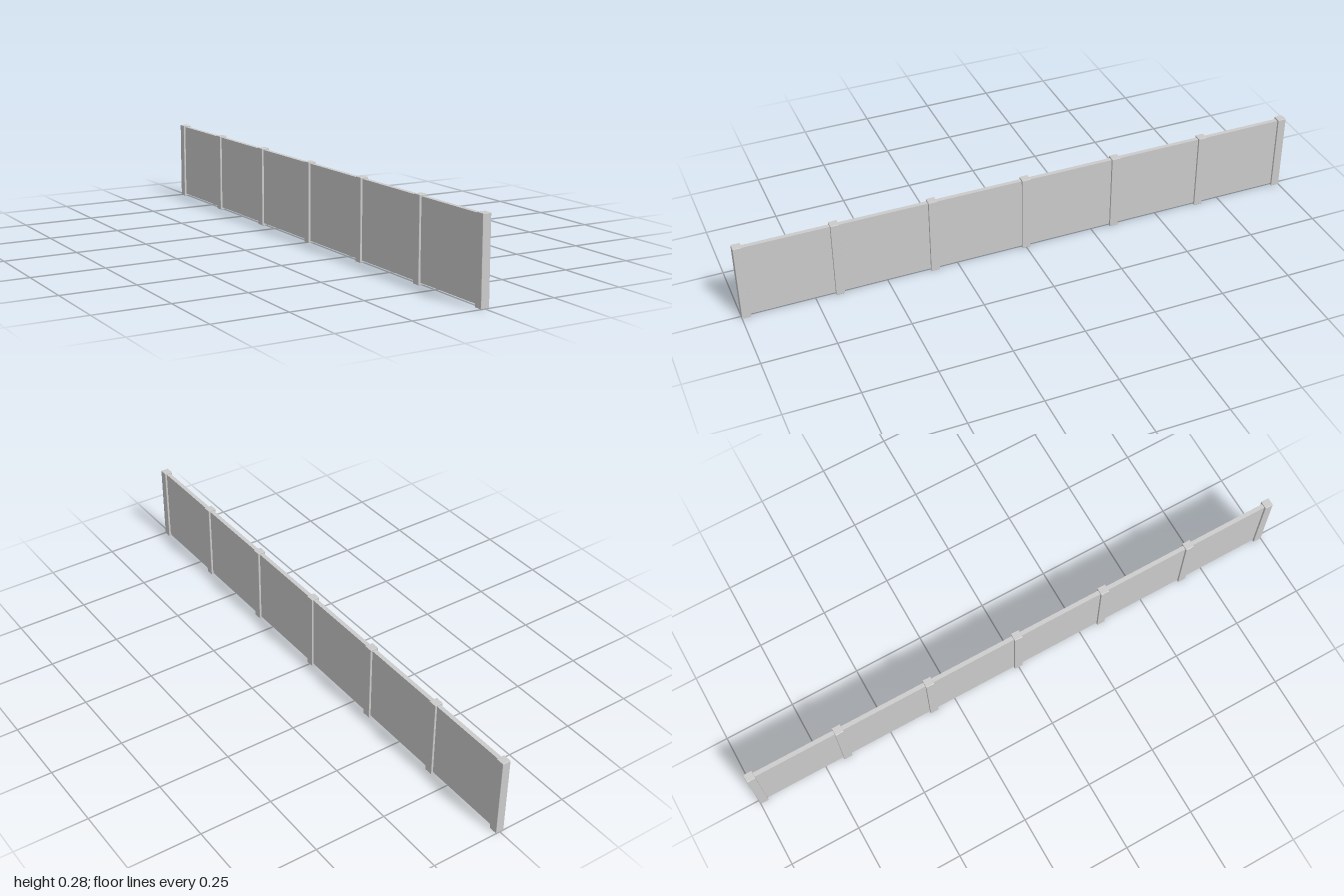
import * as THREE from 'three';
import { RoundedBoxGeometry } from 'three/addons/geometries/RoundedBoxGeometry.js';

export function createModel() {
  const group = new THREE.Group();
  group.name = 'fence';
  const material = new THREE.MeshStandardMaterial({ color: 0xcccccc, flatShading: true });

  const height = 0.28, postSize = 0.029;
  const postZ = [-0.985, -0.667, -0.333, 0, 0.333, 0.667, 0.985];

  // Square posts with slightly eased edges
  const postGeometry = new RoundedBoxGeometry(postSize, height, postSize + 0.001, 1, 0.0015);
  postZ.forEach((z, i) => {
    const post = new THREE.Mesh(postGeometry, material);
    post.name = `post${i + 1}`;
    post.position.set(0, height / 2, z);
    group.add(post);
  });

  // Thin panels between the posts, set just short of their tops and feet
  const bottom = 0.008, top = 0.275;
  for (let i = 0; i < postZ.length - 1; i++) {
    const length = postZ[i + 1] - postZ[i] - postSize + 0.004;
    const panel = new THREE.Mesh(new THREE.BoxGeometry(0.015, top - bottom, length), material);
    panel.name = `panel${i + 1}`;
    panel.position.set(0, (top + bottom) / 2, (postZ[i] + postZ[i + 1]) / 2);
    group.add(panel);
  }
  return group;
}
